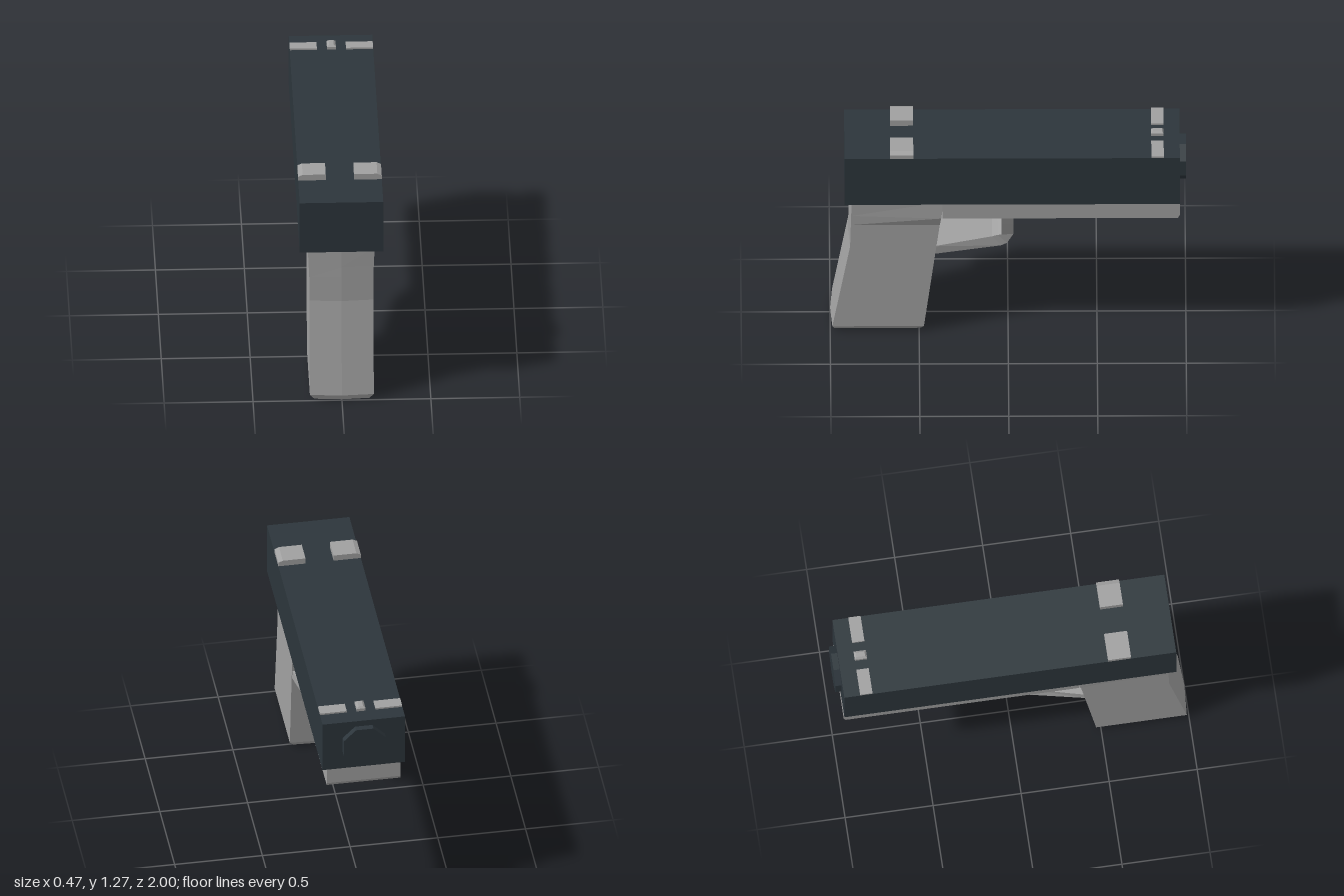
import * as THREE from 'three';

// Closed solid through rings of [x, y, z] points, each ring counter-clockwise about the travel direction
function loft(rings) {
  const pos = [];
  const n = rings[0].length;
  const tri = (a, b, c) => pos.push(...a, ...b, ...c);
  for (let r = 0; r < rings.length - 1; r++) {
    for (let i = 0; i < n; i++) {
      const j = (i + 1) % n;
      const a = rings[r], b = rings[r + 1];
      tri(a[i], a[j], b[j]);
      tri(a[i], b[j], b[i]);
    }
  }
  const first = rings[0], last = rings[rings.length - 1];
  for (let i = 1; i < n - 1; i++) {
    tri(first[0], first[i + 1], first[i]);
    tri(last[0], last[i], last[i + 1]);
  }
  const g = new THREE.BufferGeometry();
  g.setAttribute('position', new THREE.Float32BufferAttribute(pos, 3));
  g.computeVertexNormals();
  return g;
}

export function createModel() {
  const group = new THREE.Group();
  const dark = new THREE.MeshStandardMaterial({ name: 'dark slate', color: 0x2c353b });
  const grey = new THREE.MeshStandardMaterial({ name: 'mid grey', color: 0xa0a0a0 });

  const add = (name, geometry, material, x = 0, y = 0, z = 0) => {
    const mesh = new THREE.Mesh(geometry, material);
    mesh.name = name;
    mesh.position.set(x, y, z);
    group.add(mesh);
    return mesh;
  };

  // Upper block
  add('slide', new THREE.BoxGeometry(0.47, 0.32, 1.885), dark, 0, 1.075, -0.0225);

  // Octagonal cap on the far end
  const cap = new THREE.CylinderGeometry(0.13, 0.13, 0.04, 8).toNonIndexed();
  cap.rotateY(Math.PI / 8).rotateX(Math.PI / 2);
  cap.computeVertexNormals();
  add('muzzleCap', cap, dark, 0, 1.078, -0.98);

  // Lower frame, with a small bevel under its far end
  const railRing = (y, far) => [[0.21, y, 0.37], [0.21, y, far], [-0.21, y, far], [-0.21, y, 0.37]];
  add('frameRail', loft([railRing(0.8, -0.955), railRing(0.82, -0.965), railRing(0.915, -0.965)]), grey);

  // Grip sections: height, front z, back z, front half width, back half width
  const gripRows = [
    [0, 0.485, 0.99, 0.155, 0.155],
    [0.03, 0.465, 1.0, 0.18, 0.18],
    [0.585, 0.395, 0.9, 0.18, 0.18],
    [0.735, 0.376, 0.896, 0.18, 0.18],
    [0.8, 0.368, 0.894, 0.21, 0.183],
    [0.915, 0.355, 0.892, 0.21, 0.188],
  ];
  add('grip', loft(gripRows.map(([y, f, b, hf, hb]) => [
    [0, y, b], [hb, y, b - 0.012], [hf, y, f + 0.008],
    [0, y, f], [-hf, y, f + 0.008], [-hb, y, b - 0.012],
  ])), grey);

  // Guard loop sections: inner z, y, outer z, y, half width
  const guardRows = [
    [0.42, 0.585, 0.42, 0.532, 0.18],
    [0.09, 0.595, 0.04, 0.532, 0.1],
    [0.06, 0.605, 0.005, 0.55, 0.1],
    [0.037, 0.625, -0.03, 0.63, 0.125],
    [0.037, 0.735, -0.03, 0.735, 0.18],
    [0.037, 0.802, -0.03, 0.802, 0.21],
  ];
  add('guardLoop', loft(guardRows.map(([iz, iy, oz, oy, h]) => [
    [h, iy, iz], [h, oy, oz], [-h, oy, oz], [-h, iy, iz],
  ])), grey);

  // Paired sight pads, rear ones chamfered along the outer edge
  for (const s of [1, -1]) {
    const pad = new THREE.Shape();
    pad.moveTo(0.08, 0);
    pad.lineTo(0.235, 0);
    pad.lineTo(0.235, 0.025);
    pad.lineTo(0.21, 0.037);
    pad.lineTo(0.08, 0.037);
    const side = s > 0 ? 'left' : 'right';
    const rear = new THREE.ExtrudeGeometry(pad, { depth: 0.13, bevelEnabled: false });
    if (s < 0) rear.rotateY(Math.PI);
    add(side + 'RearSight', rear, grey, 0, 1.234, s > 0 ? 0.533 : 0.663);
    add(side + 'FrontPad', new THREE.BoxGeometry(0.152, 0.012, 0.07), grey, s * 0.158, 1.239, -0.84);
  }

  // Small centre post with sloped upper edges
  const postRing = (y, h, d) => [[h, y, d], [h, y, -d], [-h, y, -d], [-h, y, d]];
  add('frontSight', loft([
    postRing(0, 0.025, 0.035), postRing(0.018, 0.025, 0.035), postRing(0.028, 0.013, 0.025),
  ]), grey, 0, 1.234, -0.84);

  return group;
}
